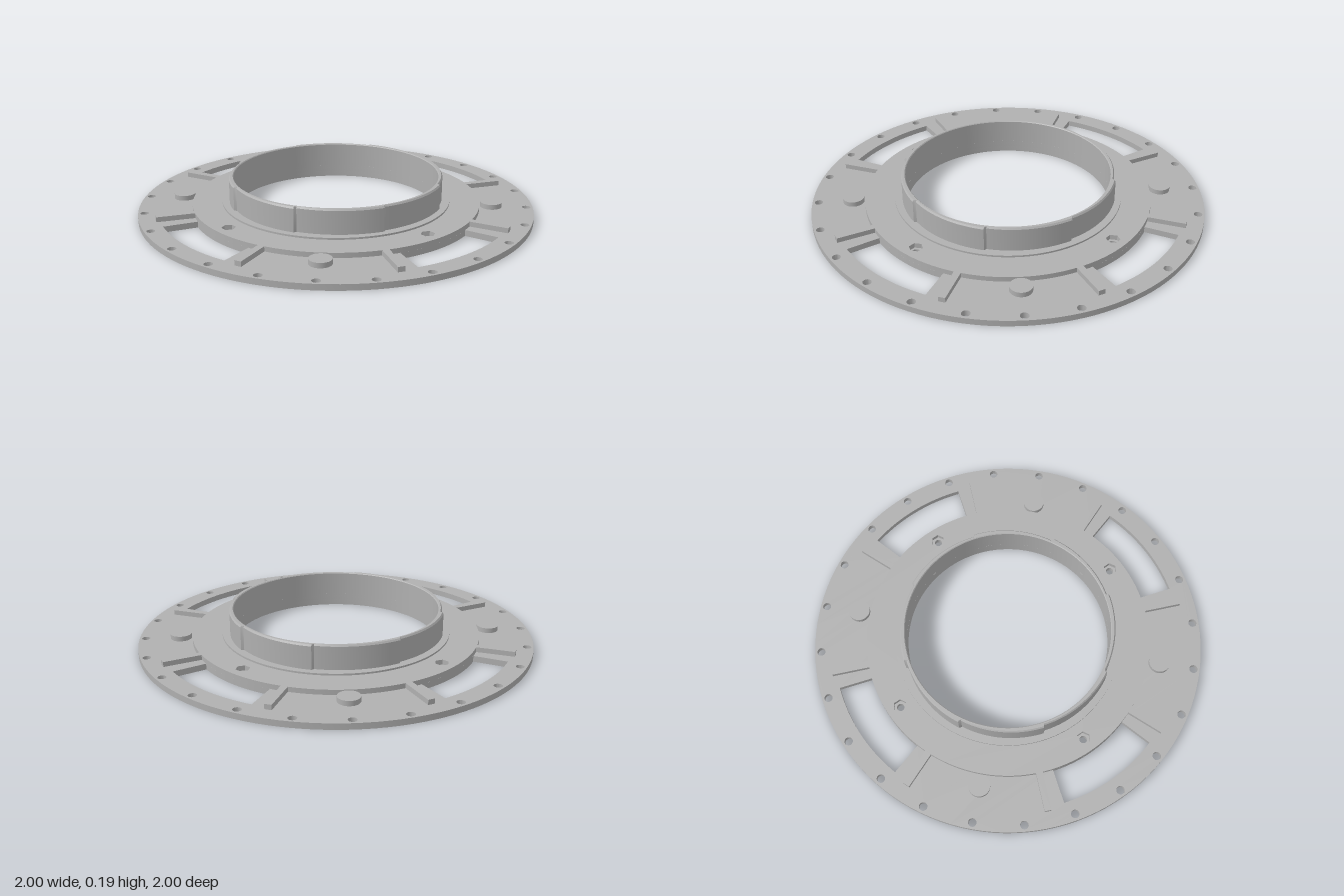
import * as THREE from 'three';
import { toCreasedNormals } from 'three/addons/utils/BufferGeometryUtils.js';

const TAU = Math.PI * 2;

// Points of a regular polygon (or fine circle) around a centre
function ringPoints(radius, sides, cx = 0, cy = 0) {
  return Array.from({ length: sides }, (_, i) => new THREE.Vector2(
    cx + radius * Math.cos(i / sides * TAU), cy + radius * Math.sin(i / sides * TAU)));
}

// Same polygon repeated around the axis
function holePattern(count, orbit, radius, sides, start = 0) {
  return Array.from({ length: count }, (_, i) => {
    const a = start + i / count * TAU;
    return new THREE.Path(ringPoints(radius, sides, orbit * Math.cos(a), orbit * Math.sin(a)));
  });
}

// Flat annulus with extra holes, from height y0 to y1
function disc(outer, inner, y0, y1, holes = []) {
  const shape = new THREE.Shape(ringPoints(outer, 120));
  shape.holes.push(new THREE.Path(ringPoints(inner, 120)), ...holes);
  const geo = new THREE.ExtrudeGeometry(shape, { depth: y1 - y0, bevelEnabled: false, curveSegments: 20 });
  geo.rotateX(-Math.PI / 2).translate(0, y0, 0);
  return toCreasedNormals(geo, 0.45);
}

export function createModel() {
  const group = new THREE.Group();
  const grey = new THREE.MeshStandardMaterial({ color: 0xb0b0b0 });
  grey.name = 'grey';
  const add = (name, geo) => {
    const mesh = new THREE.Mesh(geo, grey);
    mesh.name = name;
    group.add(mesh);
    return mesh;
  };

  // Base plate: four curved windows, rim holes, screw holes and nut pockets
  const windows = [0, 1, 2, 3].map((k) => {
    const mid = k * Math.PI / 2, half = 17 * Math.PI / 180;
    const path = new THREE.Path();
    path.absarc(0, 0, 0.9, mid - half, mid + half, false);
    path.absarc(0, 0, 0.73, mid + half, mid - half, true);
    path.closePath();
    return path;
  });
  add('basePlate', disc(1, 0.52, 0, 0.03, [
    ...windows,
    ...holePattern(24, 0.968, 0.021, 16),
    ...holePattern(4, 0.66, 0.019, 16),
    ...holePattern(4, 0.79, 0.033, 6, Math.PI / 4),
  ]));

  // Raised ring with hexagonal sockets, and the step around the collar
  add('raisedRing', disc(0.73, 0.52, 0.03, 0.055, holePattern(4, 0.66, 0.035, 6)));
  add('collarStep', disc(0.58, 0.52, 0.055, 0.064));

  // Collar: chamfered wall whose outside ramps outward in eight shallow steps
  const profile = [[0.536, 0.06], [0.536, 0.18], [0.53, 0.188], [0.524, 0.188], [0.52, 0.184], [0.52, 0.06]]
    .map(([r, y]) => new THREE.Vector2(r, y));
  const collar = new THREE.LatheGeometry(profile, 360);
  const pos = collar.attributes.position;
  for (let i = 0; i < pos.count; i++) {
    const x = pos.getX(i), z = pos.getZ(i), r = Math.hypot(x, z);
    if (r < 0.527) continue;
    const degrees = Math.round(Math.atan2(x, z) * 360 / TAU) + 375;
    const scale = (r + 0.012 * (degrees % 45) / 44) / r;
    pos.setX(i, x * scale);
    pos.setZ(i, z * scale);
  }
  add('collar', toCreasedNormals(collar, 0.45));

  // Radial ribs on both sides of each window
  for (let i = 0; i < 8; i++) {
    const a = (i + 0.5) * TAU / 8;
    const rib = add('rib', new THREE.BoxGeometry(0.2, 0.026, 0.034));
    rib.position.set(0.82 * Math.cos(a), 0.042, 0.82 * Math.sin(a));
    rib.rotation.y = -a;
  }

  // Round bosses covering the nut pockets
  for (let i = 0; i < 4; i++) {
    const a = (i + 0.5) * TAU / 4;
    const boss = add('boss', new THREE.CylinderGeometry(0.054, 0.054, 0.025, 32));
    boss.position.set(0.79 * Math.cos(a), 0.0425, 0.79 * Math.sin(a));
  }
  return group;
}
